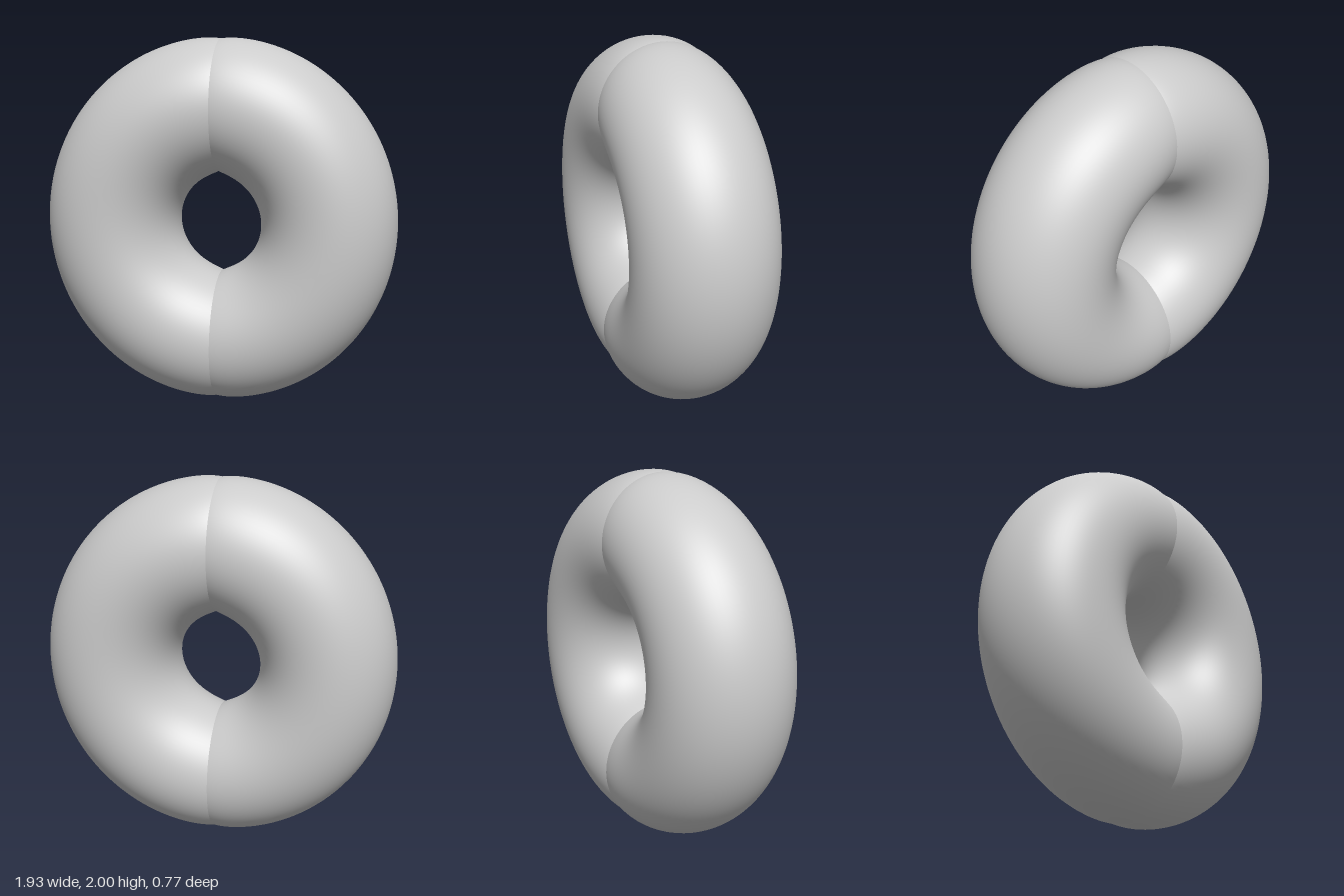
import * as THREE from 'three';

// Half ring: elliptical sections swept from the top seam (t = 0) to the bottom seam (t = PI),
// pinched slightly where the two halves meet.
function halfRingGeometry(steps = 128, sides = 80) {
  const positions = [], index = [];
  for (let i = 0; i <= steps; i++) {
    // sections crowd towards both seams
    const t = Math.PI * (1 - Math.cos(Math.PI * i / steps)) / 2;
    const s = Math.sin(t), c = Math.cos(t);
    const fromSeam = Math.min(t, Math.PI - t);
    const pinch = (amount, reach) => amount * Math.exp(-fromSeam / reach);

    const outer = 0.965 + 0.04 * c * c - pinch(0.01, 0.06);
    const inner = -0.05 * s + Math.sqrt(0.28 ** 2 - (0.05 * c) ** 2) + pinch(0.012, 0.15);
    const depth = 0.383 - pinch(0.03, 0.2);
    const middle = (outer + inner) / 2, half = (outer - inner) / 2;

    for (let j = 0; j < sides; j++) {
      const u = 2 * Math.PI * j / sides;
      const r = middle + half * Math.cos(u);
      positions.push(r * s, 1 + r * c, depth * Math.sin(u));
      if (i < steps) {
        const a = i * sides + j, b = i * sides + (j + 1) % sides;
        index.push(a, b, a + sides, b, b + sides, a + sides);
      }
    }
  }
  const geometry = new THREE.BufferGeometry();
  geometry.setAttribute('position', new THREE.Float32BufferAttribute(positions, 3));
  geometry.setIndex(index);
  geometry.computeVertexNormals();
  return geometry;
}

export function createModel() {
  const group = new THREE.Group();
  group.name = 'pinchedRing';
  const geometry = halfRingGeometry();
  const material = new THREE.MeshStandardMaterial({ color: 0xcccccc });

  // the same half, turned half way round for the other side
  ['leftHalfRing', 'rightHalfRing'].forEach((name, k) => {
    const half = new THREE.Mesh(geometry, material);
    half.name = name;
    half.rotation.y = k * Math.PI;
    group.add(half);
  });
  return group;
}
